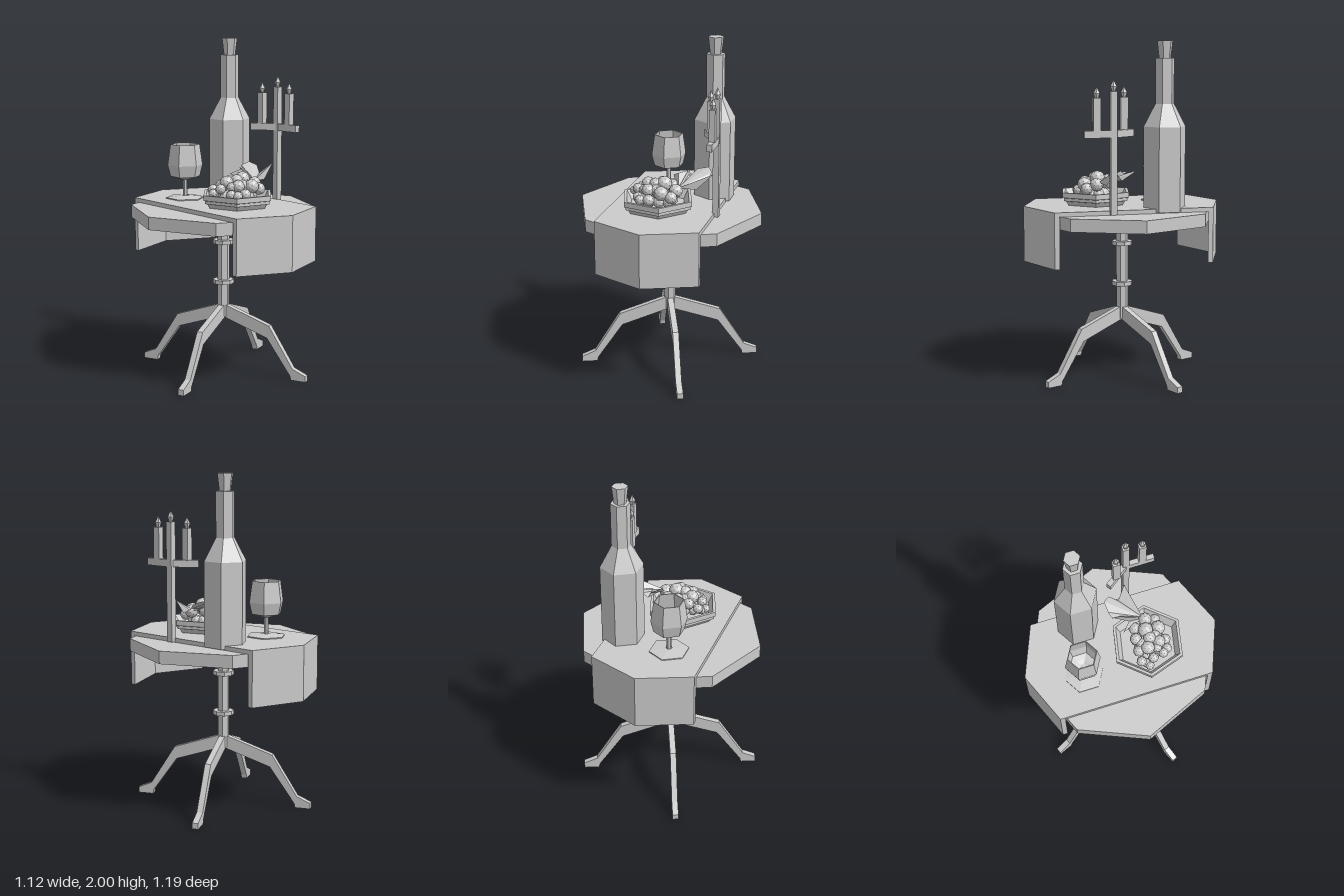
import * as THREE from 'three';

const grey = new THREE.MeshStandardMaterial({ color: 0xcccccc, flatShading: true, side: THREE.DoubleSide });

function add(parent, name, geometry, x = 0, y = 0, z = 0) {
  const mesh = new THREE.Mesh(geometry, grey);
  mesh.name = name;
  mesh.position.set(x, y, z);
  parent.add(mesh);
  return mesh;
}

function group(parent, name, x = 0, y = 0, z = 0) {
  const g = new THREE.Group();
  g.name = name;
  g.position.set(x, y, z);
  parent.add(g);
  return g;
}

const vec2 = (pairs) => pairs.map(([a, b]) => new THREE.Vector2(a, b));
const lathe = (pairs, sides = 6) => new THREE.LatheGeometry(vec2(pairs), sides);
const extrude = (pairs, depth, hole) => {
  const shape = new THREE.Shape(vec2(pairs));
  if (hole) shape.holes.push(new THREE.Path(vec2(hole)));
  return new THREE.ExtrudeGeometry(shape, { depth, bevelEnabled: false });
};
// Horizontal slab from an x-z outline, hanging down from y = 0
const slab = (pairs, depth, hole) => extrude(pairs, depth, hole).rotateX(Math.PI / 2);

function buildTable(root) {
  const table = group(root, 'table');
  // Thin top with a rim around its hollow underside
  const octagon = [
    [0.56, 0], [0.392, 0.395], [0, 0.56], [-0.392, 0.395],
    [-0.56, 0], [-0.392, -0.395], [0, -0.56], [0.392, -0.395],
  ];
  const inner = octagon.map(([x, z]) => [x * 0.98, z * 0.98]);
  add(table, 'tableTop', slab(octagon, 0.012), 0, 1.015, 0);
  add(table, 'tableRim', slab(octagon, 0.063, inner), 0, 1.003, 0);
  add(table, 'column', new THREE.CylinderGeometry(0.036, 0.036, 0.6, 6), 0, 0.64, 0);
  for (const y of [0.555, 0.8]) {
    add(table, 'columnRing', new THREE.CylinderGeometry(0.063, 0.063, 0.025, 8), 0, y, 0);
  }
  // Four bent legs with small feet
  const profile = [
    [0, 0.415], [0.03, 0.41], [0.31, 0.315], [0.465, 0.07], [0.548, 0.035],
    [0.548, 0], [0.455, 0], [0.45, 0.025], [0.297, 0.24], [0, 0.34],
  ];
  for (let i = 0; i < 4; i++) {
    const leg = add(table, 'leg', extrude(profile, 0.036).translate(0, 0, -0.018));
    leg.rotation.y = THREE.MathUtils.degToRad(23 + 90 * i);
  }
}

function buildRunner(root) {
  const runner = group(root, 'clothRunner');
  const w = 0.31;
  add(runner, 'runnerTop', slab([
    [w, 0.47], [0, 0.595], [-w, 0.47], [-w, -0.47], [0, -0.595], [w, -0.47],
  ], 0.025), 0, 1.04, 0);
  // Pointed flaps hanging at front and back
  for (const s of [1, -1]) {
    add(runner, 'runnerFlap', slab([
      [w, 0.47 * s], [0, 0.595 * s], [-w, 0.47 * s], [-w, 0.44 * s], [0, 0.565 * s], [w, 0.44 * s],
    ], 0.302), 0, 1.015, 0);
  }
}

function buildBottle(root) {
  const bottle = group(root, 'bottle', 0.22, 0, -0.198);
  add(bottle, 'bottleBody', lathe([
    [0, 1.02], [0.126, 1.02], [0.126, 1.51], [0.056, 1.64], [0.056, 1.9], [0, 1.9],
  ]));
  add(bottle, 'cork', lathe([[0, 1.9], [0.035, 1.9], [0.047, 2], [0, 2]]));
}

function buildGlass(root) {
  const glass = group(root, 'wineGlass', -0.085, 0, -0.257);
  add(glass, 'glassFoot', lathe([[0, 1.04], [0.118, 1.04], [0.118, 1.046], [0.018, 1.056]]));
  add(glass, 'glassStem', new THREE.CylinderGeometry(0.014, 0.014, 0.12, 6), 0, 1.11, 0);
  add(glass, 'glassBowl', lathe([
    [0, 1.155], [0.025, 1.155], [0.09, 1.175], [0.107, 1.245], [0.089, 1.37],
    [0.083, 1.37], [0.1, 1.245], [0.083, 1.185], [0.045, 1.175], [0.022, 1.165], [0, 1.162],
  ]));
}

function buildFruitDish(root) {
  const dish = group(root, 'fruitDish', -0.027, 0, 0.157);
  const bowl = add(dish, 'dishBowl', lathe([
    [0, 1.04], [0.183, 1.04], [0.2, 1.065], [0.215, 1.068], [0.215, 1.085], [0.225, 1.088],
    [0.225, 1.118], [0.207, 1.118], [0.178, 1.065], [0, 1.065],
  ]));
  bowl.rotation.y = THREE.MathUtils.degToRad(18);

  // Grapes: x, y, z, radius
  const grapes = group(root, 'grapes');
  const list = [
    [0.013, 1.195, 0.154, 0.045], [-0.091, 1.18, 0.135, 0.041], [-0.019, 1.18, 0.085, 0.035],
    [-0.088, 1.16, 0.082, 0.034], [-0.148, 1.14, 0.079, 0.03], [0.05, 1.17, 0.1, 0.036],
    [-0.069, 1.165, 0.211, 0.038], [0.016, 1.16, 0.233, 0.043], [0.075, 1.14, 0.233, 0.036],
    [-0.151, 1.15, 0.151, 0.03], [-0.1, 1.16, 0.189, 0.029], [-0.183, 1.125, 0.12, 0.026],
    [0.088, 1.165, 0.176, 0.04], [-0.129, 1.12, 0.22, 0.03], [-0.107, 1.115, 0.25, 0.03],
    [-0.053, 1.12, 0.255, 0.034], [-0.038, 1.19, 0.161, 0.038], [-0.16, 1.12, 0.107, 0.028],
    [-0.055, 1.17, 0.11, 0.034], [-0.025, 1.165, 0.2, 0.034],
  ];
  for (const [x, y, z, r] of list) {
    add(grapes, 'grape', new THREE.IcosahedronGeometry(r, 1), x, y, z);
  }
  // Fill beneath the visible grapes
  for (let i = 0; i < 10; i++) {
    const a = (i * Math.PI) / 5;
    add(grapes, 'lowerGrape', new THREE.IcosahedronGeometry(0.036, 1),
      -0.03 + 0.09 * Math.cos(a), 1.105, 0.16 + 0.065 * Math.sin(a));
  }
}

// Pleated leaf: a fan of triangles from its stalk to a zigzag edge
function leafGeometry(stalk, edge) {
  const pos = [];
  for (let i = 0; i + 1 < edge.length; i++) pos.push(...stalk, ...edge[i], ...edge[i + 1]);
  const geo = new THREE.BufferGeometry();
  geo.setAttribute('position', new THREE.Float32BufferAttribute(pos, 3));
  geo.computeVertexNormals();
  return geo;
}

function buildLeaves(root) {
  const leaves = group(root, 'leaves');
  add(leaves, 'smallLeaf', leafGeometry([0.1, 1.16, 0.17], [
    [0.03, 1.21, 0.025], [0.075, 1.24, 0.075], [0.12, 1.24, 0.0], [0.14, 1.2, 0.06],
  ]));
  add(leaves, 'largeLeaf', leafGeometry([0.1, 1.18, 0.165], [
    [0.12, 1.245, 0.04], [0.135, 1.21, -0.01], [0.165, 1.245, -0.025], [0.23, 1.26, -0.03],
    [0.26, 1.24, 0.01], [0.235, 1.2, 0.06], [0.295, 1.265, 0.115], [0.2, 1.17, 0.14],
  ]));
}

function buildCandleHolder(root) {
  const holder = group(root, 'candleHolder');
  const px = 0.317, pz = 0.129;
  add(holder, 'post', new THREE.BoxGeometry(0.036, 0.7, 0.038), px, 1.368, pz);
  // Side arms: a straight one and one angled toward the back
  for (const [ex, ez] of [[0.317, 0.3], [0.222, -0.002]]) {
    const dx = ex - px, dz = ez - pz;
    const arm = add(holder, 'arm', new THREE.BoxGeometry(0.03, 0.042, Math.hypot(dx, dz)),
      px + dx / 2, 1.478, pz + dz / 2);
    arm.rotation.y = Math.atan2(dx, dz);
  }
  for (const [x, z] of [[0.317, 0.227], [0.26, 0.055]]) {
    add(holder, 'candle', new THREE.BoxGeometry(0.036, 0.185, 0.042), x, 1.59, z);
  }
  const flame = lathe([[0, 0], [0.01, 0.002], [0.02, 0.028], [0, 0.065]], 5);
  for (const [x, y, z] of [[px, 1.717, pz], [0.317, 1.68, 0.227], [0.26, 1.68, 0.055]]) {
    add(holder, 'flame', flame, x, y, z);
  }
}

export function createModel() {
  const root = new THREE.Group();
  root.name = 'diningTable';
  buildTable(root);
  buildRunner(root);
  buildBottle(root);
  buildGlass(root);
  buildFruitDish(root);
  buildLeaves(root);
  buildCandleHolder(root);
  return root;
}
